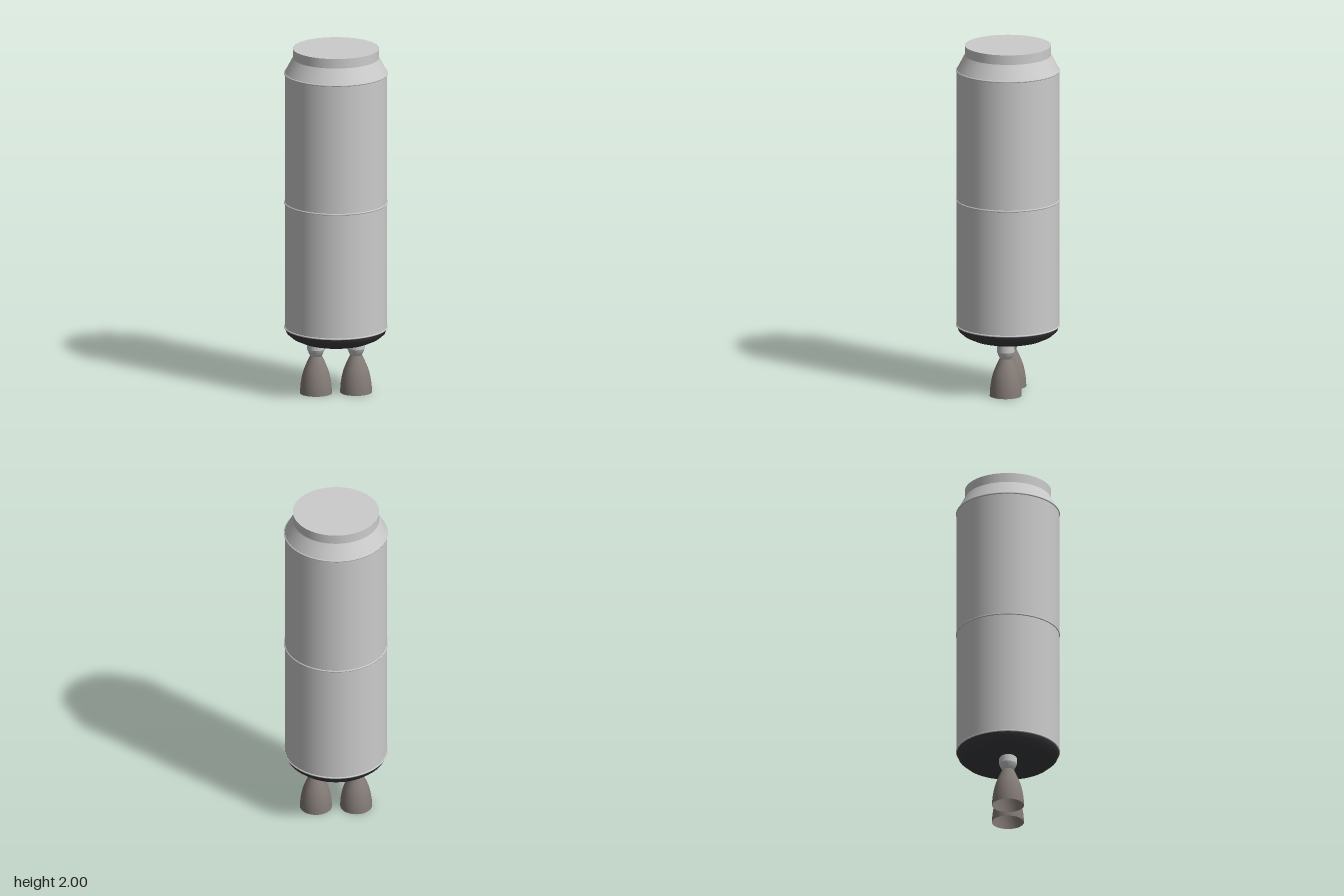
import * as THREE from 'three';

const SEGMENTS = 48;

export function createModel() {
  const model = new THREE.Group();
  model.name = 'rocketStage';

  const grey = new THREE.MeshStandardMaterial({ color: 0xcccccc });
  const dark = new THREE.MeshStandardMaterial({ color: 0x3c3d40 });
  const bellMetal = new THREE.MeshStandardMaterial({ color: 0x857c77, side: THREE.DoubleSide });

  const add = (name, geometry, material, parent = model) => {
    const mesh = new THREE.Mesh(geometry, material);
    mesh.name = name;
    parent.add(mesh);
    return mesh;
  };
  const lathe = (points, segments = SEGMENTS) =>
    new THREE.LatheGeometry(points.map(([r, y]) => new THREE.Vector2(r, y)), segments);
  // Cylinder or cone standing between two heights
  const drum = (rTop, rBottom, y0, y1, open = false) =>
    new THREE.CylinderGeometry(rTop, rBottom, y1 - y0, SEGMENTS, 1, open).translate(0, (y0 + y1) / 2, 0);

  // Tank with a conical shoulder and a short neck
  add('tank', drum(0.288, 0.288, 0.38, 1.86), grey);
  add('shoulder', drum(0.243, 0.288, 1.86, 1.945, true), grey);
  add('neck', drum(0.243, 0.243, 1.945, 2), grey);

  // Raised seams around the tank
  for (const y of [0.383, 1.107, 1.856]) {
    const seam = add('seamRing', new THREE.TorusGeometry(0.288, 0.005, 8, SEGMENTS), grey);
    seam.rotation.x = Math.PI / 2;
    seam.position.y = y;
  }

  // Shallow dark dome closing the bottom
  const dome = [];
  for (let i = 0; i <= 6; i++) {
    const a = (i / 6) * Math.PI / 2;
    dome.push([0.288 * Math.sin(a), 0.38 - 0.104 * Math.cos(a)]);
  }
  add('bottomDome', lathe(dome), dark);

  // Twin engines, side by side
  const bell = new THREE.SplineCurve([
    [0.09, 0], [0.087, 0.05], [0.075, 0.115], [0.055, 0.17], [0.033, 0.217],
  ].map(([r, y]) => new THREE.Vector2(r, y))).getPoints(12);

  for (const side of [-1, 1]) {
    const engine = new THREE.Group();
    engine.name = side > 0 ? 'leftEngine' : 'rightEngine';
    engine.position.x = side * 0.113;
    add('nozzleBell', new THREE.LatheGeometry(bell, 32), bellMetal, engine);
    add('throat', lathe([[0, 0.212], [0.033, 0.215], [0.05, 0.255]], 32), grey, engine);
    add('combustionChamber', lathe([[0.05, 0.255], [0.05, 0.31]], 32), grey, engine);
    model.add(engine);
  }

  return model;
}
